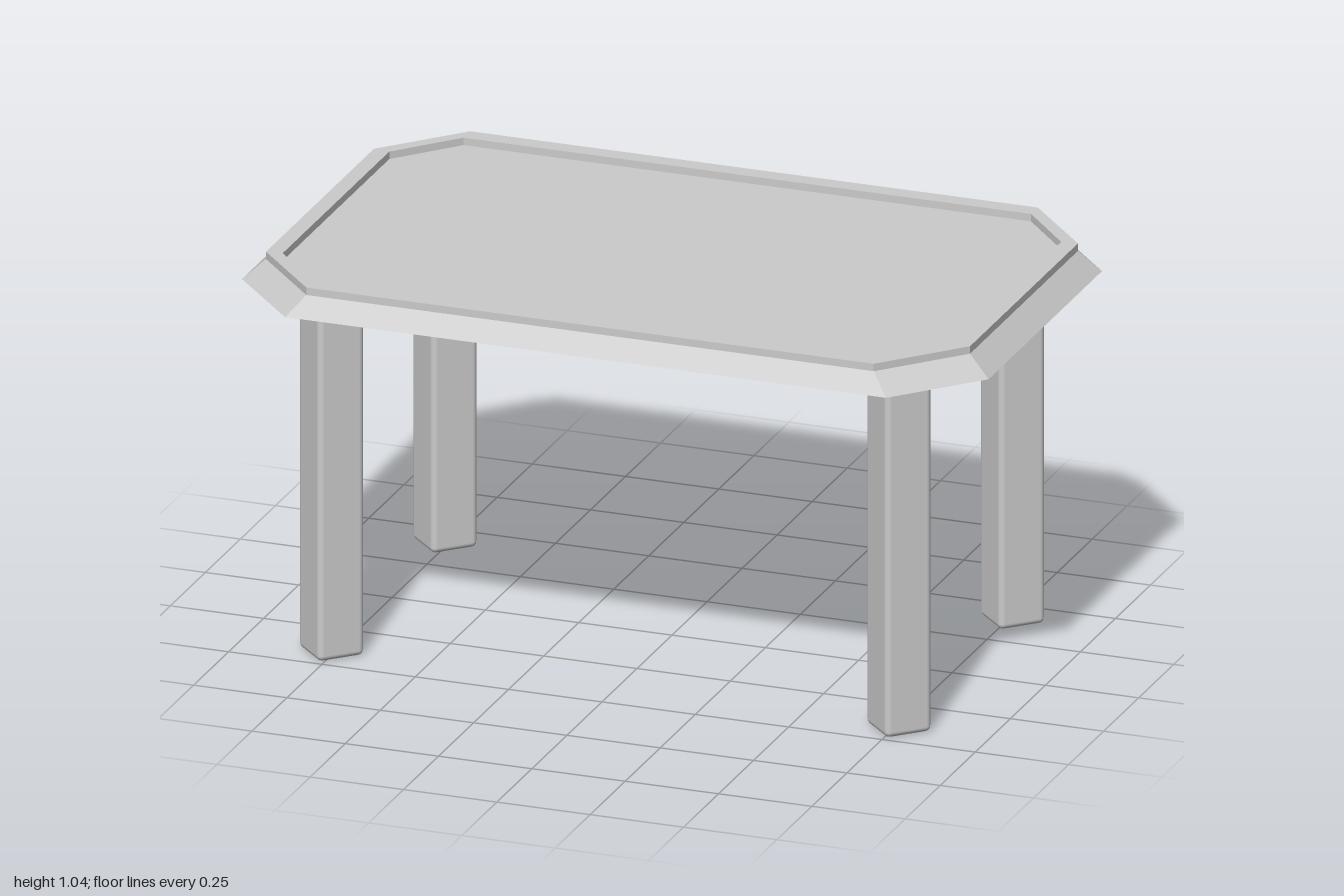
import * as THREE from 'three';
import { RoundedBoxGeometry } from 'three/addons/geometries/RoundedBoxGeometry.js';

// Octagonal outline: half sizes x, z and where the corner cuts start cx, cz
function octagon(y, x, z, cx, cz) {
  return [[x, cz], [x, -cz], [cx, -z], [-cx, -z], [-x, -cz], [-x, cz], [-cx, z], [cx, z]]
    .map(([px, pz]) => new THREE.Vector3(px, y, pz));
}

// Skin consecutive outlines with flat quads
function skin(rings) {
  const points = [];
  for (let i = 0; i < rings.length - 1; i++) {
    const lower = rings[i], upper = rings[i + 1], n = lower.length;
    for (let j = 0; j < n; j++) {
      const k = (j + 1) % n;
      for (const [a, b, c] of [
        [lower[j], lower[k], upper[k]],
        [lower[j], upper[k], upper[j]],
      ]) {
        // the centre caps collapse half of their quads
        if (!a.equals(b) && !b.equals(c) && !a.equals(c)) points.push(a, b, c);
      }
    }
  }
  const geometry = new THREE.BufferGeometry().setFromPoints(points);
  geometry.computeVertexNormals();
  return geometry;
}

export function createModel() {
  const table = new THREE.Group();
  table.name = 'table';

  // Top with sloped edge, raised rim and recessed surface
  const top = new THREE.Mesh(
    skin([
      octagon(0.967, 0, 0, 0, 0),
      octagon(0.967, 1, 0.617, 0.805, 0.405),
      octagon(1.021, 0.943, 0.585, 0.76, 0.385),
      octagon(1.041, 0.943, 0.585, 0.76, 0.385),
      octagon(1.041, 0.9, 0.537, 0.76, 0.38),
      octagon(1.021, 0.9, 0.537, 0.76, 0.38),
      octagon(1.021, 0, 0, 0, 0),
    ]),
    new THREE.MeshStandardMaterial({ color: 0xcccccc, flatShading: true })
  );
  top.name = 'tabletop';
  table.add(top);

  // Square legs with softened edges, turned to face the cut corners
  const legHeight = 0.967;
  const legGeometry = new RoundedBoxGeometry(0.126, legHeight, 0.126, 3, 0.015);
  const legMaterial = new THREE.MeshStandardMaterial({ color: 0xcccccc });
  for (const [x, xName] of [[1, 'Left'], [-1, 'Right']]) {
    for (const [z, zName] of [[1, 'front'], [-1, 'back']]) {
      const leg = new THREE.Mesh(legGeometry, legMaterial);
      leg.name = `${zName}${xName}Leg`;
      leg.position.set(x * 0.76, legHeight / 2, z * 0.405);
      leg.rotation.y = Math.PI / 4;
      table.add(leg);
    }
  }
  return table;
}
